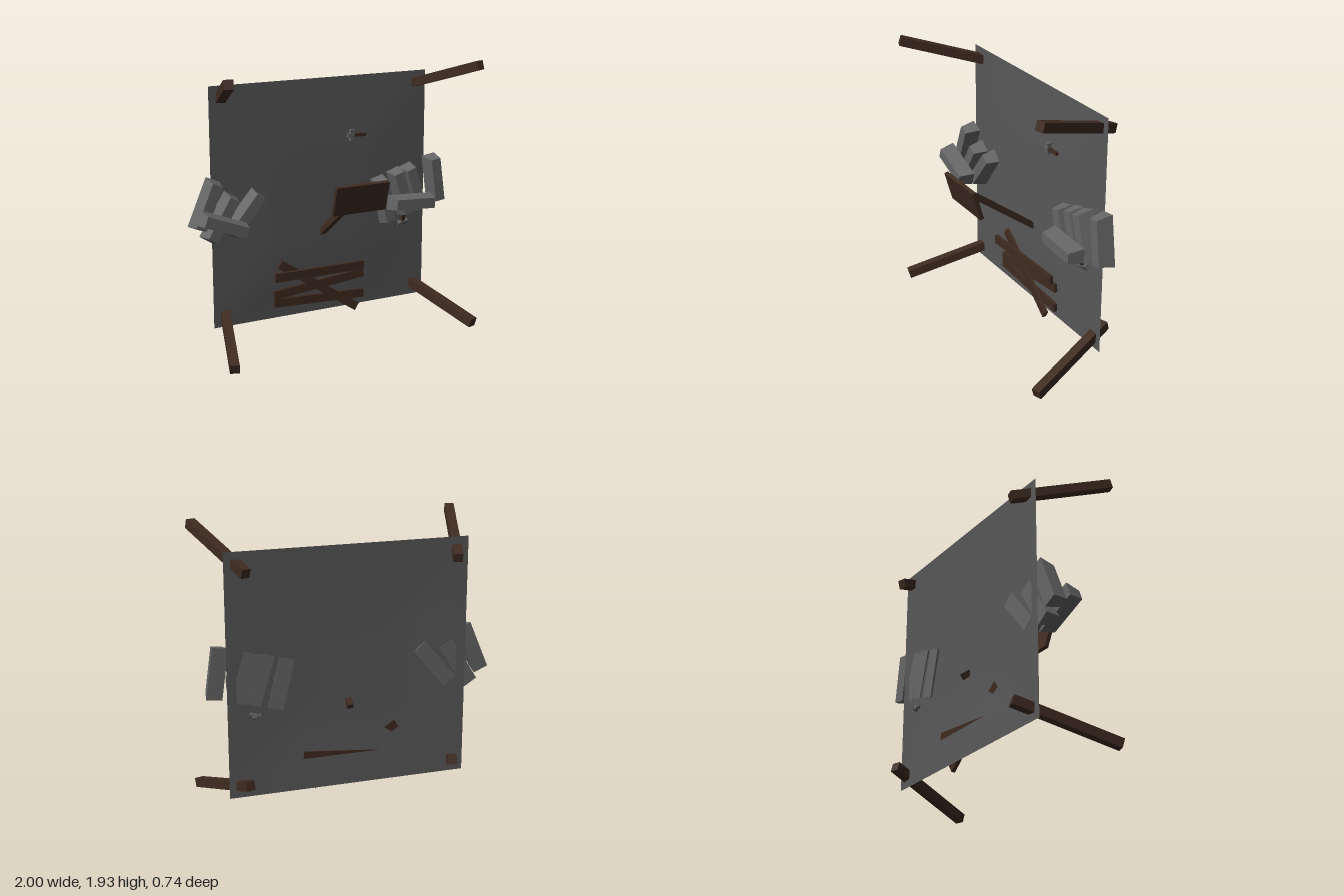
import * as THREE from 'three';

export function createModel() {
  const model = new THREE.Group();
  const material = (name, color) => {
    const m = new THREE.MeshStandardMaterial({ color });
    m.name = name;
    return m;
  };
  const wood = material('dark wood', 0x3f2b20);
  const stone = material('grey stone', 0x666666);
  const metal = material('tool metal', 0x5e5e5e);
  const earth = material('ground grey', 0x585858);
  earth.side = THREE.DoubleSide;

  const add = (parent, name, geometry, mat, x, y, z) => {
    const mesh = new THREE.Mesh(geometry, mat);
    mesh.name = name;
    mesh.position.set(x, y, z);
    parent.add(mesh);
    return mesh;
  };
  const rad = THREE.MathUtils.degToRad;

  // square beam running between two points
  const beam = (name, from, to, size) => {
    const a = new THREE.Vector3(...from), b = new THREE.Vector3(...to);
    const mid = a.clone().add(b).multiplyScalar(0.5);
    const mesh = add(model, name, new THREE.BoxGeometry(size, size, a.distanceTo(b)), wood, mid.x, mid.y, mid.z);
    mesh.lookAt(b);
  };

  // upright ground sheet, gently raised in the middle
  const ground = new THREE.PlaneGeometry(1.69, 1.69, 10, 10);
  const p = ground.attributes.position;
  for (let i = 0; i < p.count; i++) {
    const edge = Math.max(Math.abs(p.getX(i)), Math.abs(p.getY(i))) / 0.845;
    p.setZ(i, 0.02 * THREE.MathUtils.smoothstep(1 - edge, 0, 0.6));
  }
  ground.computeVertexNormals();
  add(model, 'ground', ground, earth, 0.015, 0.975, -0.237);

  // four splayed corner posts
  for (const sx of [-1, 1]) for (const sy of [-1, 1]) {
    beam('cornerPost',
      [0.0175 + sx * 0.9375, 0.977 + sy * 0.935, 0.318],
      [0.0175 + sx * 0.725, 0.977 + sy * 0.722, -0.353], 0.064);
  }

  // leaning sign
  beam('signPost', [0.013, 1.125, 0.325], [0.013, 0.7, -0.255], 0.042);
  const sign = add(model, 'signBoard', new THREE.BoxGeometry(0.4, 0.21, 0.028), wood, 0.013, 1.085, 0.325);
  sign.rotation.x = rad(16);

  // tapered blocks: x, y, layer, tilt in degrees of the long axis
  const block = new THREE.BoxGeometry(0.355, 0.108, 0.112);
  const b = block.attributes.position;
  for (let i = 0; i < b.count; i++) {
    if (b.getZ(i) > 0) b.setXY(i, b.getX(i) * 0.89, b.getY(i) * 0.7);
  }
  block.computeVertexNormals();
  const blocks = [
    [-0.885, 1.027, 0, 67], [-0.783, 0.925, 0, 58], [-0.607, 0.936, 0, 50], [-0.815, 0.91, 1, -21],
    [0.49, 0.904, 0, 104], [0.634, 0.947, 0, 107], [0.74, 0.968, 0, 108], [0.92, 1.016, 0, 98],
    [0.655, 0.893, 1, -3],
  ];
  for (const [x, y, layer, tilt] of blocks) {
    add(model, 'stoneBlock', block, stone, x, y, layer ? -0.052 : -0.179).rotation.z = rad(tilt);
  }

  // loose planks: x, y, z, tilt, lean
  const plank = new THREE.BoxGeometry(0.72, 0.062, 0.026);
  const planks = [
    [-0.035, 0.444, -0.173, -1, 2.2], [-0.02, 0.337, -0.216, 5.5, 0],
    [-0.02, 0.23, -0.216, -2.6, 0], [-0.035, 0.33, -0.196, -33.7, -2.5],
  ];
  for (const [x, y, z, tilt, lean] of planks) {
    add(model, 'plank', plank, wood, x, y, z).rotation.set(0, rad(lean), rad(tilt), 'ZYX');
  }

  // two small hammers
  const hammer = (x, y, z, tilt, pitch) => {
    const g = new THREE.Group();
    g.name = 'hammer';
    add(g, 'handle', new THREE.BoxGeometry(0.1, 0.023, 0.02), wood, 0.06, 0, 0);
    add(g, 'head', new THREE.BoxGeometry(0.034, 0.05, 0.034), metal, 0, -0.012, 0);
    add(g, 'neck', new THREE.BoxGeometry(0.024, 0.02, 0.024), metal, 0, 0.02, 0);
    add(g, 'face', new THREE.BoxGeometry(0.034, 0.014, 0.034), metal, 0, 0.034, 0);
    add(g, 'collar', new THREE.BoxGeometry(0.018, 0.028, 0.028), metal, -0.024, 0, 0);
    g.position.set(x, y, z);
    g.rotation.set(0, rad(pitch), rad(tilt), 'ZYX');
    model.add(g);
  };
  hammer(0.235, 1.4, -0.2, -1, 0);
  hammer(0.675, 0.708, -0.22, 105, -35);

  return model;
}
